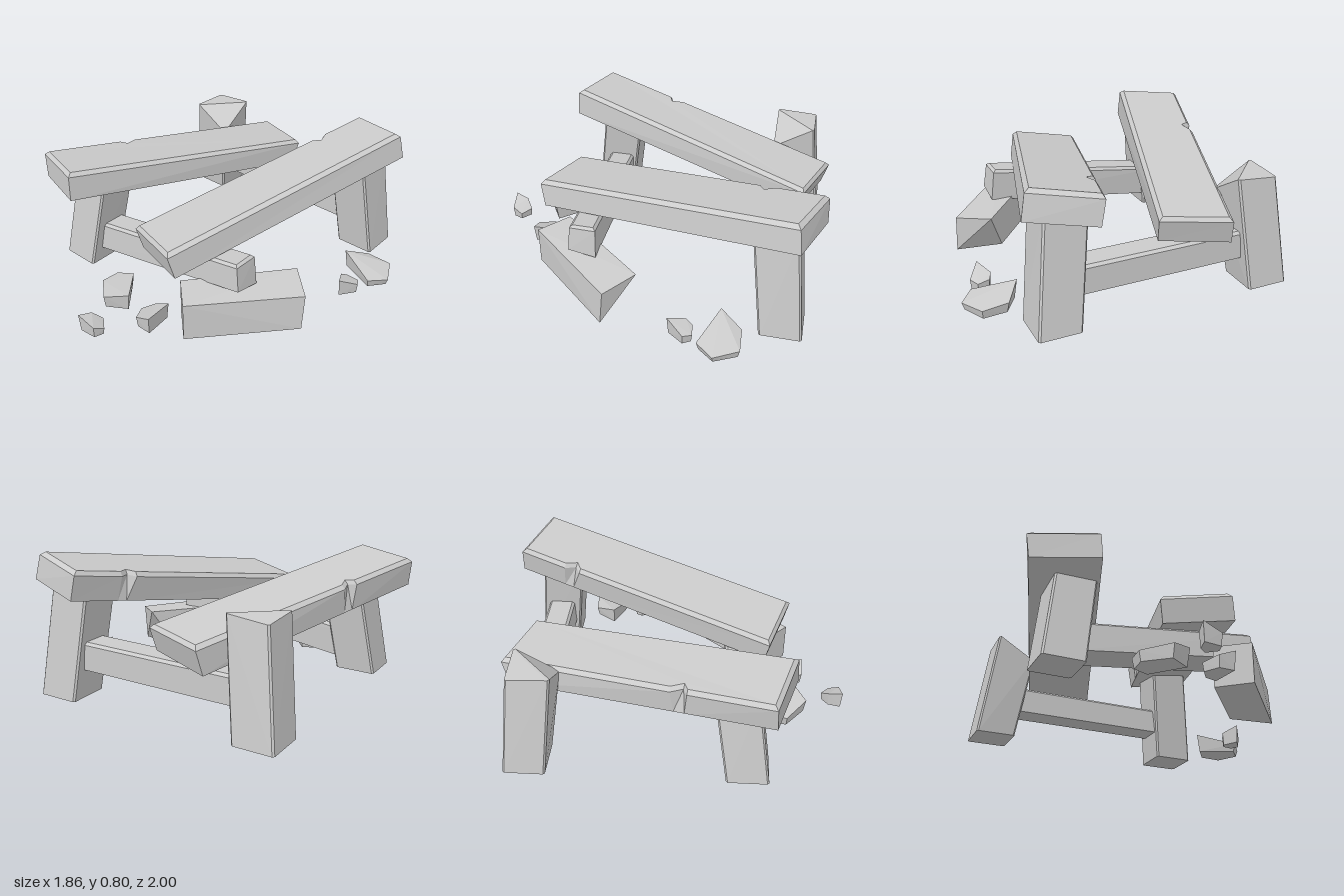
import * as THREE from 'three';
import { ConvexGeometry } from 'three/addons/geometries/ConvexGeometry.js';

const material = new THREE.MeshStandardMaterial({ color: 0xcccccc, flatShading: true, side: THREE.DoubleSide });
const V = (p) => new THREE.Vector3(...p);

function addMesh(group, name, geometry) {
  const mesh = new THREE.Mesh(geometry, material);
  mesh.name = name;
  group.add(mesh);
}

const hull = (points) => new ConvexGeometry(points.map(V));

// Four-sided slab with chamfered top edges and an optional chip in its left edge.
// Corners run front-left, front-right, back-right, back-left, seen from above.
function slab(bottom, top, chamfer, chip) {
  const b = bottom.map(V), t = top.map(V);
  const cu = chamfer / t[0].distanceTo(t[1]);
  const cw = chamfer / t[0].distanceTo(t[3]);
  const ch = chamfer / t[0].distanceTo(b[0]);
  const outline = (iu, iw, depth) => {
    const pts = [[iu, iw], [1 - iu, iw], [1 - iu, 1 - iw], [iu, 1 - iw]];
    if (chip) pts.push([iu, chip[2]], [iu + depth, chip[1]], [iu, chip[0]]);
    return pts;
  };
  const bilinear = (c, u, w) => c[0].clone().lerp(c[1], u).lerp(c[3].clone().lerp(c[2], u), w);
  const levels = [[outline(0, 0, 0), 0], [outline(0, 0, 0.1), 1 - ch], [outline(cu, cw, 0.1), 1]];
  const rings = levels.map(([pts, h]) =>
    pts.map(([u, w]) => bilinear(b, u, w).lerp(bilinear(t, u, w), h)));
  const n = rings[0].length, index = [];
  for (let r = 0; r < 2; r++) {
    for (let i = 0; i < n; i++) {
      const a = r * n + i, d = r * n + (i + 1) % n;
      index.push(a, d, d + n, a, d + n, a + n);
    }
  }
  const contour = levels[2][0].map(([u, w]) => new THREE.Vector2(u, w));
  for (const [p, q, s] of THREE.ShapeUtils.triangulateShape(contour, [])) {
    index.push(p + 2 * n, q + 2 * n, s + 2 * n, s, q, p);
  }
  let geometry = new THREE.BufferGeometry().setFromPoints(rings.flat());
  geometry.setIndex(index);
  geometry = geometry.toNonIndexed();
  geometry.computeVertexNormals();
  return geometry;
}

// Splayed square leg; sx and sz give its quarter, heights its four top corners
function leg(sx, sz, heights) {
  const w = 0.12, pts = [];
  [[-1, 1], [1, 1], [1, -1], [-1, -1]].forEach(([x, z], i) => {
    // each corner post carries a slight edge chamfer
    for (const [dx, dz] of [[w, w - 0.01], [w - 0.01, w]]) {
      pts.push([sx * 0.69 + (sx > 0 ? -0.14 : 0) + x * dx, 0, sz * 0.825 + (sz > 0 ? -0.4 : 0) + z * dz]);
      pts.push([sx * 0.615 + (sx > 0 ? -0.13 : 0) + x * dx, heights[i], sz * 0.75 + (sz > 0 ? -0.4 : 0) + z * dz]);
    }
  });
  return hull(pts);
}

// Angular stone: plan outline of [x, z, height] with a slightly smaller foot
function stone(outline) {
  const cx = outline.reduce((s, p) => s + p[0], 0) / outline.length;
  const cz = outline.reduce((s, p) => s + p[1], 0) / outline.length;
  return hull(outline.flatMap(([x, z, h]) => [
    [x, h, z],
    [cx + (x - cx) * 0.9, 0, cz + (z - cz) * 0.9],
  ]));
}

export function createModel() {
  const group = new THREE.Group();
  group.name = 'brokenTable';

  // Two tilted planks of the top
  addMesh(group, 'rightPlank', slab(
    [[-0.91, 0.515, 0.55], [-0.55, 0.54, 0.67], [-0.05, 0.355, -0.82], [-0.42, 0.33, -0.95]],
    [[-0.93, 0.68, 0.54], [-0.56, 0.71, 0.66], [-0.03, 0.505, -0.86], [-0.4, 0.485, -0.99]],
    0.022, [0.3, 0.32, 0.36]));
  addMesh(group, 'leftPlank', slab(
    [[-0.13, 0.325, 0.51], [0.25, 0.365, 0.64], [0.72, 0.645, -0.88], [0.36, 0.6, -1]],
    [[-0.16, 0.475, 0.54], [0.22, 0.52, 0.67], [0.69, 0.805, -0.86], [0.33, 0.76, -0.99]],
    0.022, [0.76, 0.785, 0.82]));

  // Standing legs and the one snapped off at the top
  addMesh(group, 'frontRightLeg', leg(-1, 1, [0.54, 0.54, 0.53, 0.53]));
  addMesh(group, 'backLeftLeg', leg(1, -1, [0.6, 0.6, 0.64, 0.64]));
  addMesh(group, 'snappedLeg', leg(-1, -1, [0.63, 0.5, 0.64, 0.62]));

  // Fallen leg with a slanted break
  addMesh(group, 'fallenLeg', hull([
    [0.17, 0, 0.52], [0.33, 0, 0.67], [0.77, 0, 0.17], [0.5, 0, 0.13],
    [0.17, 0.24, 0.52], [0.33, 0.235, 0.67], [0.77, 0.22, 0.15], [0.6, 0.245, 0]]));

  // Cross rails, the front one hanging loose
  addMesh(group, 'frontRail', slab(
    [[-0.6, 0.09, 0.47], [0.51, 0.275, 0.42], [0.51, 0.245, 0.26], [-0.6, 0.07, 0.31]],
    [[-0.62, 0.26, 0.455], [0.49, 0.435, 0.41], [0.49, 0.435, 0.26], [-0.62, 0.26, 0.3]], 0.015));
  addMesh(group, 'backRail', slab(
    [[-0.62, 0.17, -0.71], [0.5, 0.17, -0.71], [0.5, 0.17, -0.87], [-0.62, 0.17, -0.87]],
    [[-0.62, 0.33, -0.71], [0.5, 0.33, -0.71], [0.5, 0.33, -0.87], [-0.62, 0.33, -0.87]], 0.015));

  // Scattered rubble
  const stones = [
    [[0.62, -0.49, 0.11], [0.71, -0.62, 0.06], [0.86, -0.63, 0.05], [0.93, -0.49, 0.04], [0.85, -0.39, 0.05]],
    [[0.71, -0.31, 0.08], [0.73, -0.35, 0.06], [0.8, -0.36, 0.05], [0.83, -0.31, 0.06], [0.76, -0.21, 0.11]],
    [[-0.34, 0.66, 0.06], [-0.33, 0.55, 0.06], [-0.23, 0.51, 0.08], [-0.07, 0.7, 0.11], [-0.2, 0.78, 0.08]],
    [[0.01, 0.68, 0.05], [0.06, 0.61, 0.07], [0.14, 0.59, 0.1], [0.16, 0.77, 0.11], [0.06, 0.77, 0.07]],
    [[-0.16, 1, 0.11], [-0.14, 0.92, 0.09], [-0.09, 0.88, 0.05], [-0.03, 0.93, 0.04], [-0.05, 0.99, 0.07]],
  ];
  stones.forEach((outline, i) => addMesh(group, `stone${i + 1}`, stone(outline)));

  return group;
}
